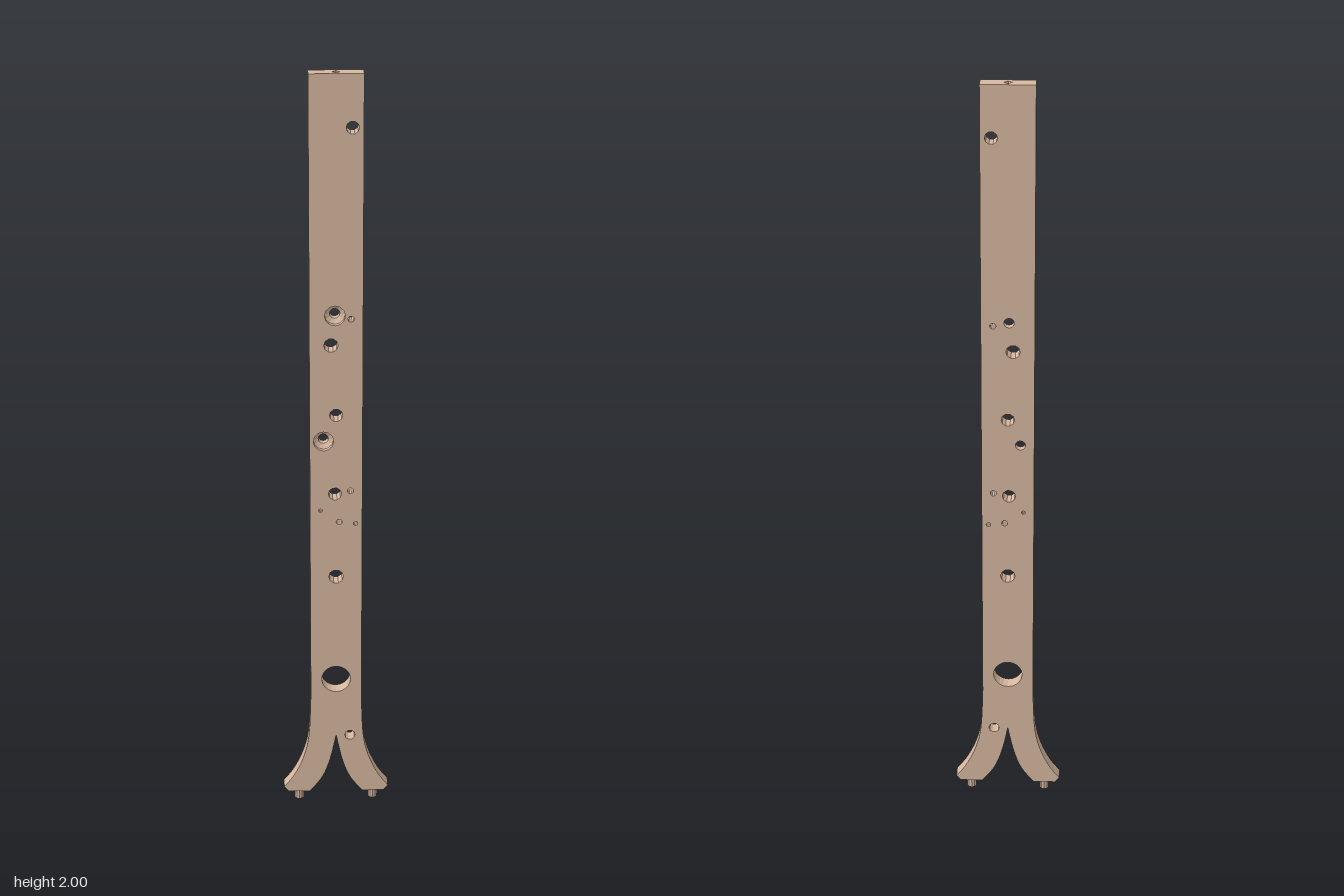
import * as THREE from 'three';

const HALF_W = 0.067, HALF_D = 0.019, SPLIT = 1.94;
const wood = new THREE.MeshStandardMaterial({ color: 0xd8b8a0, flatShading: true });
const woodInside = new THREE.MeshStandardMaterial({ color: 0xd8b8a0, flatShading: true, side: THREE.DoubleSide });

// Through holes: x, y, radius
const holes = [
  [0.04, 1.868, 0.016], [0.037, 1.381, 0.008], [-0.013, 1.312, 0.018],
  [0, 1.124, 0.017], [-0.003, 0.907, 0.017], [0.037, 0.915, 0.008],
  [-0.04, 0.86, 0.005], [0.008, 0.828, 0.008], [0.05, 0.823, 0.006],
  [0, 0.672, 0.019], [0, 0.37, 0.038], [0.037, 0.2, 0.014],
];
// Counterbored holes: x, y
const bores = [[-0.003, 1.39], [-0.032, 1.053]];
const BORE_OUTER = 0.026, BORE_INNER = 0.013;

function circle(x, y, r, sides = r > 0.03 ? 20 : 10) {
  const pts = [];
  for (let i = 0; i < sides; i++) {
    const a = (i / sides) * Math.PI * 2;
    pts.push(new THREE.Vector2(x + r * Math.cos(a), y + r * Math.sin(a)));
  }
  return new THREE.Path(pts);
}

function curve(points) {
  return new THREE.SplineCurve(points.map(p => new THREE.Vector2(...p))).getPoints(14);
}

// Plank outline with two flared legs, mirrored about x = 0
function outline() {
  const inner = curve([[0, 0.2], [0.016, 0.127], [0.037, 0.072], [0.07, 0.028]]);
  const outer = curve([[0.14, 0.042], [0.112, 0.08], [0.086, 0.138], [0.072, 0.205], [HALF_W, 0.32]]);
  const half = [...inner, new THREE.Vector2(0.128, 0.028), ...outer, new THREE.Vector2(HALF_W, SPLIT)];
  const other = half.slice(1).reverse().map(p => new THREE.Vector2(-p.x, p.y));
  return new THREE.Shape([...half, ...other]);
}

function plankLayer(boreRadius, z) {
  const shape = outline();
  for (const h of holes) shape.holes.push(circle(...h));
  for (const [x, y] of bores) shape.holes.push(circle(x, y, boreRadius, 12));
  const geo = new THREE.ExtrudeGeometry(shape, { depth: HALF_D, bevelEnabled: false });
  return geo.translate(0, 0, z);
}

export function createModel() {
  const model = new THREE.Group();
  model.name = 'plankPost';
  const add = (name, geo, mat = wood) => {
    const mesh = new THREE.Mesh(geo, mat);
    mesh.name = name;
    model.add(mesh);
    return mesh;
  };

  // Two layers, so the bores are wide in front and narrow behind
  add('plankFront', plankLayer(BORE_OUTER, 0));
  add('plankBack', plankLayer(BORE_INNER, -HALF_D));

  // Sloped bore bottoms
  for (const [x, y] of bores) {
    const seat = new THREE.CylinderGeometry(BORE_OUTER, BORE_INNER, 0.007, 12, 1, true);
    seat.rotateY(Math.PI / 2).rotateX(Math.PI / 2);
    add('boreSeat', seat, woodInside).position.set(x, y, 0.0035);
  }

  // Top end with a small square pin hole
  const end = new THREE.Shape([
    new THREE.Vector2(-HALF_W, -HALF_D), new THREE.Vector2(HALF_W, -HALF_D),
    new THREE.Vector2(HALF_W, HALF_D), new THREE.Vector2(-HALF_W, HALF_D),
  ]);
  end.holes.push(circle(0, 0, 0.01, 4));
  const endGeo = new THREE.ExtrudeGeometry(end, { depth: 2 - SPLIT, bevelEnabled: false });
  endGeo.rotateX(-Math.PI / 2).translate(0, SPLIT, 0);
  add('plankTop', endGeo);
  add('pinHoleTip', new THREE.CylinderGeometry(0.01, 0, 0.008, 4, 1, true), woodInside)
    .position.y = SPLIT + 0.005;

  // Round pegs under the feet
  for (const side of [-1, 1]) {
    add(side > 0 ? 'leftPeg' : 'rightPeg', new THREE.CylinderGeometry(0.0125, 0.0125, 0.032, 10))
      .position.set(side * 0.099, 0.016, 0);
  }
  return model;
}
